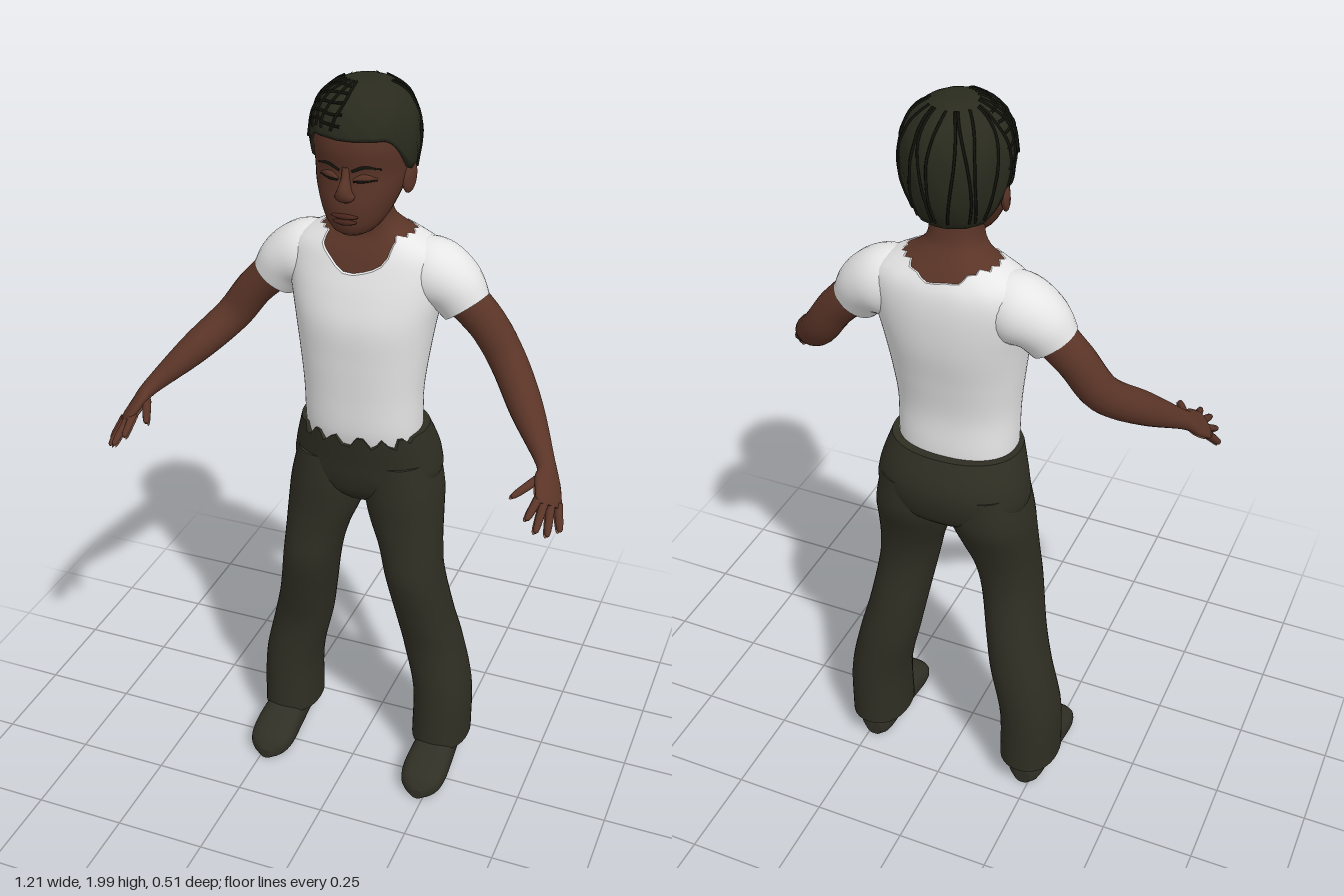
import * as THREE from 'three';

const mat = (name, color) => Object.assign(new THREE.MeshStandardMaterial({ color }), { name });
const V = (x, y, z) => new THREE.Vector3(x, y, z);
const SEG = 32;

// Hermite interpolation of table rows by their first column
function at(rows, k) {
  const n = rows.length;
  k = Math.min(Math.max(k, rows[0][0]), rows[n - 1][0]);
  let i = 0;
  while (i < n - 2 && k > rows[i + 1][0]) i++;
  const A = rows[Math.max(i - 1, 0)], B = rows[i], C = rows[i + 1], D = rows[Math.min(i + 2, n - 1)];
  const h = C[0] - B[0], t = (k - B[0]) / h;
  return B.map((b, c) => {
    const m0 = (C[c] - A[c]) / (C[0] - A[0]) * h, m1 = (D[c] - b) / (D[0] - B[0]) * h;
    return (2 * t ** 3 - 3 * t * t + 1) * b + (t ** 3 - 2 * t * t + t) * m0
      + (3 * t * t - 2 * t ** 3) * C[c] + (t ** 3 - t * t) * m1;
  });
}

// Skin closed rings of points and cap both ends; side -1 mirrors across x
function loft(group, name, material, rings, side = 1) {
  const n = rings[0].length, pos = [], idx = [];
  const tri = (a, b, c) => (side > 0 ? idx.push(a, b, c) : idx.push(a, c, b));
  const put = p => pos.push(p.x * side, p.y, p.z);
  rings.forEach(r => r.forEach(put));
  for (let i = 0; i < rings.length - 1; i++) for (let j = 0; j < n; j++) {
    const a = i * n + j, b = i * n + (j + 1) % n;
    tri(a, b, b + n); tri(a, b + n, a + n);
  }
  [rings[0], rings[rings.length - 1]].forEach((r, e) => {
    const s = pos.length / 3, c = V(0, 0, 0);
    r.forEach(p => { put(p); c.addScaledVector(p, 1 / n); });
    put(c);
    for (let j = 0; j < n; j++) {
      const a = s + j, b = s + (j + 1) % n;
      e ? tri(a, b, s + n) : tri(b, a, s + n);
    }
  });
  const g = new THREE.BufferGeometry();
  g.setAttribute('position', new THREE.Float32BufferAttribute(pos, 3));
  g.setIndex(idx);
  g.computeVertexNormals();
  const m = new THREE.Mesh(g, material);
  m.name = name;
  group.add(m);
}

const range = (n, f) => Array.from({ length: n }, (_, i) => f(i));
const pw = (v, e) => Math.sign(v) * Math.abs(v) ** (2 / e);
const around = (f, n = SEG) => range(n, j => f(j / n * Math.PI * 2));

// Point at angle a (0 = front) on a body profile of rows [y, halfWidth, zFront, zBack]
function bodyPoint(rows, a, y, e = 2, grow = 0) {
  const [, rx, zf, zb] = at(rows, y);
  return V((rx + grow) * pw(Math.sin(a), e), y, (zf + zb) / 2 + ((zf - zb) / 2 + grow) * pw(Math.cos(a), e));
}

// Sweep an ellipse along rows [x, y, z, ru, rv]; hint gives the ru axis
function sweep(group, name, material, pts, hint, side = 1, steps = 4, seg = 14) {
  const rows = pts.map((p, i) => [i, ...p]), n = (pts.length - 1) * steps + 1;
  const s = range(n, i => at(rows, i / steps));
  const p = s.map(r => V(r[1], r[2], r[3]));
  loft(group, name, material, s.map((r, i) => {
    const d = p[Math.min(i + 1, n - 1)].clone().sub(p[Math.max(i - 1, 0)]).normalize();
    const u = hint.clone().addScaledVector(d, -hint.dot(d)).normalize(), v = u.clone().cross(d);
    return around(a => p[i].clone().addScaledVector(u, r[4] * Math.sin(a)).addScaledVector(v, r[5] * Math.cos(a)), seg);
  }), side);
}

const TORSO = [
  [1.05, .153, .015, -.19], [1.1, .155, .026, -.193], [1.2, .157, .031, -.19], [1.3, .168, .036, -.205],
  [1.4, .183, .038, -.225], [1.48, .2, .02, -.232], [1.54, .205, 0, -.23], [1.58, .188, -.014, -.22],
  [1.61, .14, -.03, -.2], [1.63, .1, -.036, -.185], [1.66, .072, -.03, -.162], [1.72, .066, -.02, -.15]];
const HEAD = [
  [1.645, .03, .03, -.04], [1.655, .05, .044, -.07], [1.68, .072, .053, -.1], [1.72, .092, .056, -.14],
  [1.76, .106, .051, -.165], [1.8, .112, .048, -.185], [1.86, .116, .055, -.19], [1.91, .108, .042, -.18], [1.95, .07, .0, -.14]];
const PELVIS = [
  [.865, .07, -.04, -.17], [.9, .16, -.005, -.225], [.95, .2, .012, -.248], [1.0, .197, .018, -.253],
  [1.04, .187, .024, -.243], [1.1, .168, .032, -.213]];
// Leg rows: y, inner x, outer x, front z, back z
const LEG = [
  [.085, .15, .312, -.015, -.222], [.25, .147, .308, -.025, -.22], [.4, .115, .277, -.03, -.213], [.5, .098, .252, -.012, -.2],
  [.65, .072, .227, .018, -.177], [.74, .05, .219, .012, -.182], [.82, .018, .215, .008, -.205], [.9, 0, .208, .01, -.235], [1.0, .01, .185, .005, -.235]];
// Shoe rows: z, half width, height
const SHOE = [
  [-.19, .022, .05], [-.175, .045, .09], [-.1, .054, .11], [-.02, .061, .1], [.05, .062, .075], [.09, .047, .055], [.108, .015, .03]];

const step = (a, b, x) => THREE.MathUtils.smoothstep(x, a, b);
function neckline(a) {
  const f = Math.abs(Math.sin(a));
  const y = Math.cos(a) > 0 ? 1.53 + .09 * step(0, .75, f) : 1.59 + .03 * step(0, .75, f);
  return y + .003 * Math.sin(a * 16);
}

// Hair surface: angle a from the front, t from hairline (0) to crown (1)
function hairPoint(a, t, out = 0) {
  const c = Math.cos(a);
  const y0 = c > 0 ? 1.795 + .09 * step(.1, .8, c) : 1.795 - .075 * step(0, .5, -c);
  const y = y0 + (1.997 - y0) * Math.sin(t * Math.PI / 2), h = y - 1.86;
  const r = h > 0 ? (1 - (h / .138) ** 2.3) ** (1 / 2.3) : Math.sqrt(1 - (h / .2) ** 2);
  const k = r * (1 + .018 * Math.sin(a * 13 + t * 9) * Math.sin(t * 17 + a * 3)) + out;
  return V(.13 * k * Math.sin(a), y + out * .1 * t, -.083 + .142 * k * c);
}

export function createModel() {
  const model = new THREE.Group();
  model.name = 'standingFigure';
  const skin = mat('brown skin', 0x5a3427), palm = mat('light palm', 0x8f6550), lip = mat('lips', 0x4a261e);
  const shirt = mat('white shirt', 0xe6e6e6), cloth = mat('dark olive trousers', 0x2f2e23);
  const shoe = mat('shoe', 0x302f25), hair = mat('dark hair', 0x2a2b1e), dark = mat('hair strands and brows', 0x12120c);
  const X = V(1, 0, 0), Y = V(0, 1, 0);

  // Shirt body up to the scooped neckline, skin from there up the neck
  loft(model, 'shirtBody', shirt, range(41, i => around(a =>
    bodyPoint(TORSO, a, 1.05 + (neckline(a) - 1.05) * i / 40, 2.3), 64)));
  loft(model, 'neckAndChest', skin, range(15, i => around(a => {
    const y0 = neckline(a) - .025;
    return bodyPoint(TORSO, a, y0 + (1.71 - y0) * i / 14, 2.3, -.004);
  }, 64)));

  // Head, nose, ears and face
  loft(model, 'head', skin, range(33, i => around(a => bodyPoint(HEAD, a, 1.645 + .305 * i / 32, 2.1))));
  const face = (x, y, out, ru, rv) => {
    const p = bodyPoint(HEAD, Math.asin(x / at(HEAD, y)[1]), y);
    return [x, y, p.z + out, ru, rv];
  };
  sweep(model, 'nose', skin, [[0, 1.742, .048, .014, .008], [0, 1.75, .054, .025, .017], [0, 1.765, .056, .018, .021],
    [0, 1.79, .048, .011, .015], [0, 1.82, .045, .009, .008]], X);
  sweep(model, 'upperLip', lip, [-.032, -.015, 0, .015, .032].map((x, i) => face(x, 1.702, .001, [.002, .006, .007, .006, .002][i], .007)), Y);
  sweep(model, 'lowerLip', lip, [-.028, -.014, 0, .014, .028].map((x, i) => face(x, 1.688, .001, [.002, .006, .008, .006, .002][i], .007)), Y);
  for (const s of [1, -1]) {
    sweep(model, 'eyebrow', dark, [face(.016, 1.812, .001, .003, .003), face(.045, 1.823, .001, .004, .003), face(.078, 1.815, .001, .002, .003)], Y, s);
    sweep(model, 'eyelid', skin, [face(.018, 1.79, 0, .003, .003), face(.042, 1.795, 0, .011, .007), face(.07, 1.792, 0, .003, .003)], Y, s);
    sweep(model, 'eyeLine', dark, [face(.02, 1.788, .004, .002, .002), face(.042, 1.789, .006, .003, .002), face(.07, 1.79, .003, .002, .002)], Y, s);
    const ear = new THREE.Mesh(new THREE.SphereGeometry(1, 14, 10), skin);
    ear.name = 'ear';
    ear.scale.set(.012, .042, .026);
    ear.position.set(s * .113, 1.773, -.077);
    ear.rotation.set(-.2, s * -.3, 0);
    model.add(ear);
  }

  // Hair cap tucked in at the hairline, with raised dark strands
  loft(model, 'hairCap', hair, range(22, i => around(a => i ? hairPoint(a, (i - 1) / 20) : hairPoint(a, 0, -.2), 72)));
  const strand = f => {
    const curve = new THREE.CatmullRomCurve3(range(9, i => { const [a, t] = f(i / 8); return hairPoint(a, t, .008); }));
    const m = new THREE.Mesh(new THREE.TubeGeometry(curve, 20, .0035, 5), dark);
    m.name = 'hairStrand';
    model.add(m);
  };
  for (let i = 0; i < 11; i++) strand(k => [1.75 + i * .28 + .12 * Math.sin(k * 3 + i * 2), .04 + k * .78]);
  for (let i = 0; i < 6; i++) strand(k => [-1.5 + i * .26 + .1 * Math.sin(k * 4 + i), .1 + k * .75]);
  for (let i = 0; i < 5; i++) strand(k => [-1.7 + k * 1.6, .2 + i * .13 + .03 * Math.sin(k * 5 + i)]);

  // Trouser seat with an uneven front waistband
  const waist = a => 1.092 - (Math.cos(a) > .4 ? .03 * step(.25, .8, Math.sin(a * 9 + 1.6 * Math.PI) ** 2) * step(.4, .7, Math.cos(a)) : 0);
  loft(model, 'trouserSeat', cloth, range(17, i => around(a =>
    bodyPoint(PELVIS, a, .865 + (waist(a) - .865) * i / 16, 2.2), 64)));

  const spread = V(.64, -.5, -.55), inward = V(-.69, -.67, -.195).normalize();
  for (const s of [1, -1]) {
    // Trouser leg and shoe
    loft(model, 'trouserLeg', cloth, range(37, i => {
      const [y, x0, x1, zf, zb] = at(LEG, .085 + .915 * i / 36);
      return around(a => V((x0 + x1) / 2 + (x1 - x0) / 2 * pw(Math.sin(a), 2.2), y, (zf + zb) / 2 + (zf - zb) / 2 * pw(Math.cos(a), 2.2)));
    }), s);
    loft(model, 'shoe', shoe, range(25, i => {
      const [z, w, h] = at(SHOE, -.19 + .298 * i / 24);
      return around(a => V(.233 + w * pw(Math.sin(a), 2.6), .004 + h / 2 - h / 2 * pw(Math.cos(a), 2.6), z));
    }), s);

    // Sleeve
    sweep(model, 'sleeve', shirt, [[.1, 1.52, -.12, .07, .08], [.165, 1.517, -.12, .088, .088],
      [.218, 1.492, -.117, .08, .077], [.257, 1.443, -.112, .061, .064]], V(0, 0, 1), s, 6, 28);

    // Arm running into the hand
    sweep(model, 'arm', skin, [[.22, 1.49, -.115, .054, .054], [.31, 1.405, -.113, .05, .049], [.375, 1.318, -.095, .046, .047],
      [.45, 1.243, -.01, .043, .041], [.528, 1.167, .088, .026, .022], [.545, 1.14, .125, .038, .017],
      [.56, 1.112, .162, .04, .013], [.565, 1.102, .176, .034, .008]], spread, s, 6, 20);

    // Fingers and thumb, each with a light pad on the palm side
    const digits = [['indexFinger', .54, 1.122, .172, .53, 1.098, .247], ['middleFinger', .553, 1.115, .17, .556, 1.075, .258],
      ['ringFinger', .566, 1.105, .16, .58, 1.057, .236], ['littleFinger', .58, 1.096, .148, .6, 1.047, .192],
      ['thumb', .525, 1.143, .125, .482, 1.13, .212]];
    for (const [name, x, y, z, X1, Y1, Z1] of digits) {
      const line = (ru, rv, off) => [0, .35, .7, .93, 1].map((t, i) => [
        x + (X1 - x) * t + inward.x * off, y + (Y1 - y) * t + inward.y * off, z + (Z1 - z) * t + inward.z * off,
        ru * [1.1, 1, .9, .65, .2][i], rv * [1.1, 1, .9, .65, .2][i]]);
      sweep(model, name, skin, line(.0105, .0105, 0), spread, s, 2, 10);
      sweep(model, name + 'Pad', palm, line(.0085, .004, .0082), spread, s, 2, 10);
    }
    const o = inward.clone().multiplyScalar(.0125);
    sweep(model, 'palm', palm, [[.532, 1.16, .098, .012, .003], [.545, 1.14, .125, .032, .005], [.56, 1.112, .162, .035, .0045],
      [.565, 1.102, .176, .03, .003]].map(([x, y, z, u, v]) => [x + o.x, y + o.y, z + o.z, u, v]), spread, s, 4, 14);
  }
  return model;
}
